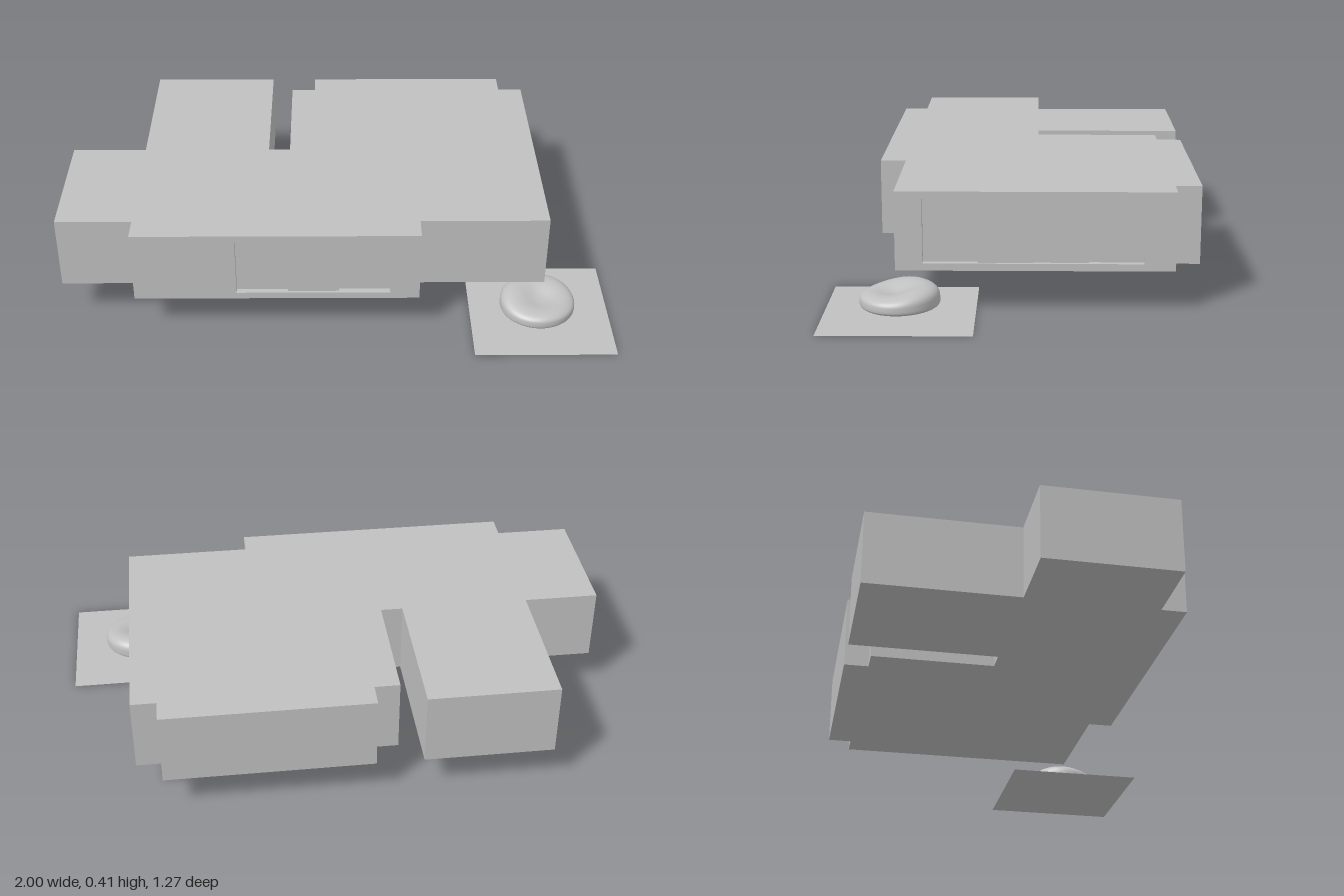
import * as THREE from 'three';
import { mergeVertices } from 'three/addons/utils/BufferGeometryUtils.js';

const grey = new THREE.MeshStandardMaterial({ color: 0xc0c0c0 });
grey.name = 'plain grey';
const sheetGrey = new THREE.MeshStandardMaterial({ color: 0xc0c0c0, side: THREE.DoubleSide });
sheetGrey.name = 'sheet grey';

const BASE = 0.143, SILL = 0.168, HEAD = 0.39, ROOF = 0.415;

// Sliding panes: stepped recesses between a and b; each entry is a pane depth
function steps(a, b, depths, toPoint) {
  const pts = [toPoint(a, 0)];
  const w = (b - a) / depths.length;
  depths.forEach((d, i) => {
    pts.push(toPoint(a + w * i, d), toPoint(a + w * (i + 1), d));
  });
  pts.push(toPoint(b, 0));
  return pts;
}

// Floor plan as [x, z]; the window band cuts the recesses into two walls
function plan(withWindows) {
  const frontWindow = withWindows
    ? steps(-0.36, 0.19, [0.022, 0.01, 0.022], (x, d) => [x, 0.483 - d]) : [];
  const sideWindow = withWindows
    ? steps(0.3, -0.44, [0.022, 0.01, 0.014, 0.022], (z, d) => [0.755 - d, z]) : [];
  return [
    [-1, 0.392], [-0.727, 0.392], [-0.727, 0.483],
    ...frontWindow,
    [0.295, 0.483], [0.295, 0.392], [0.755, 0.392],
    ...sideWindow,
    [0.755, -0.545], [0.664, -0.545], [0.664, -0.635],
    [-0.086, -0.635], [-0.086, -0.545], [-0.177, -0.545], [-0.177, -0.088],
    [-0.257, -0.088], [-0.257, -0.635], [-0.727, -0.635], [-0.727, -0.088], [-1, -0.088],
  ];
}

function storey(name, y0, y1, withWindows) {
  const shape = new THREE.Shape(plan(withWindows).map(([x, z]) => new THREE.Vector2(x, -z)));
  const geo = new THREE.ExtrudeGeometry(shape, { depth: y1 - y0, bevelEnabled: false });
  geo.rotateX(-Math.PI / 2);
  geo.translate(0, y0, 0);
  const mesh = new THREE.Mesh(geo, grey);
  mesh.name = name;
  return mesh;
}

// Soft round seat: high at the back, lower at the front, dented in the middle
function cushion() {
  let geo = new THREE.SphereGeometry(1, 56, 32);
  geo.deleteAttribute('uv');
  geo.deleteAttribute('normal');
  geo = mergeVertices(geo, 1e-4);
  const p = geo.attributes.position;
  for (let i = 0; i < p.count; i++) {
    const x = p.getX(i), y = p.getY(i), z = p.getZ(i);
    const r = Math.hypot(x, z);
    const k = r > 1e-5 ? Math.pow(r, 0.75) / r : 0;
    const u = x * k, w = z * k;
    const dent = 0.024 * Math.exp(-((u - 0.05) ** 2 * 5 + (w - 0.12) ** 2 * 4));
    const fold = 0.004 * r * Math.sin(3 * Math.atan2(u, w) + 0.6);
    const top = 0.083 - 0.015 * w - 0.004 * u - dent + fold;
    const s = Math.pow(Math.abs(y), 0.6);
    const bottom = 0.009 - 0.003 * w;
    const mid = 0.036;
    p.setXYZ(i, 0.738 + u * 0.137, y > 0 ? mid + (top + 0.006 - mid) * s : mid - (mid - bottom) * s,
      0.379 + w * 0.136);
  }
  geo.computeVertexNormals();
  const mesh = new THREE.Mesh(geo, grey);
  mesh.name = 'cushion';
  return mesh;
}

export function createModel() {
  const model = new THREE.Group();
  model.name = 'houseBlockWithCushion';

  // Building block, stacked in three bands
  const building = new THREE.Group();
  building.name = 'building';
  building.add(
    storey('lowerBand', BASE, SILL, false),
    storey('windowBand', SILL, HEAD, true),
    storey('roofBand', HEAD, ROOF, false),
  );

  // Flat mat on the ground
  const matGeo = new THREE.PlaneGeometry(0.51, 0.51);
  matGeo.rotateX(-Math.PI / 2);
  const mat = new THREE.Mesh(matGeo, sheetGrey);
  mat.name = 'groundMat';
  mat.position.set(0.745, 0, 0.377);

  model.add(building, mat, cushion());
  return model;
}
